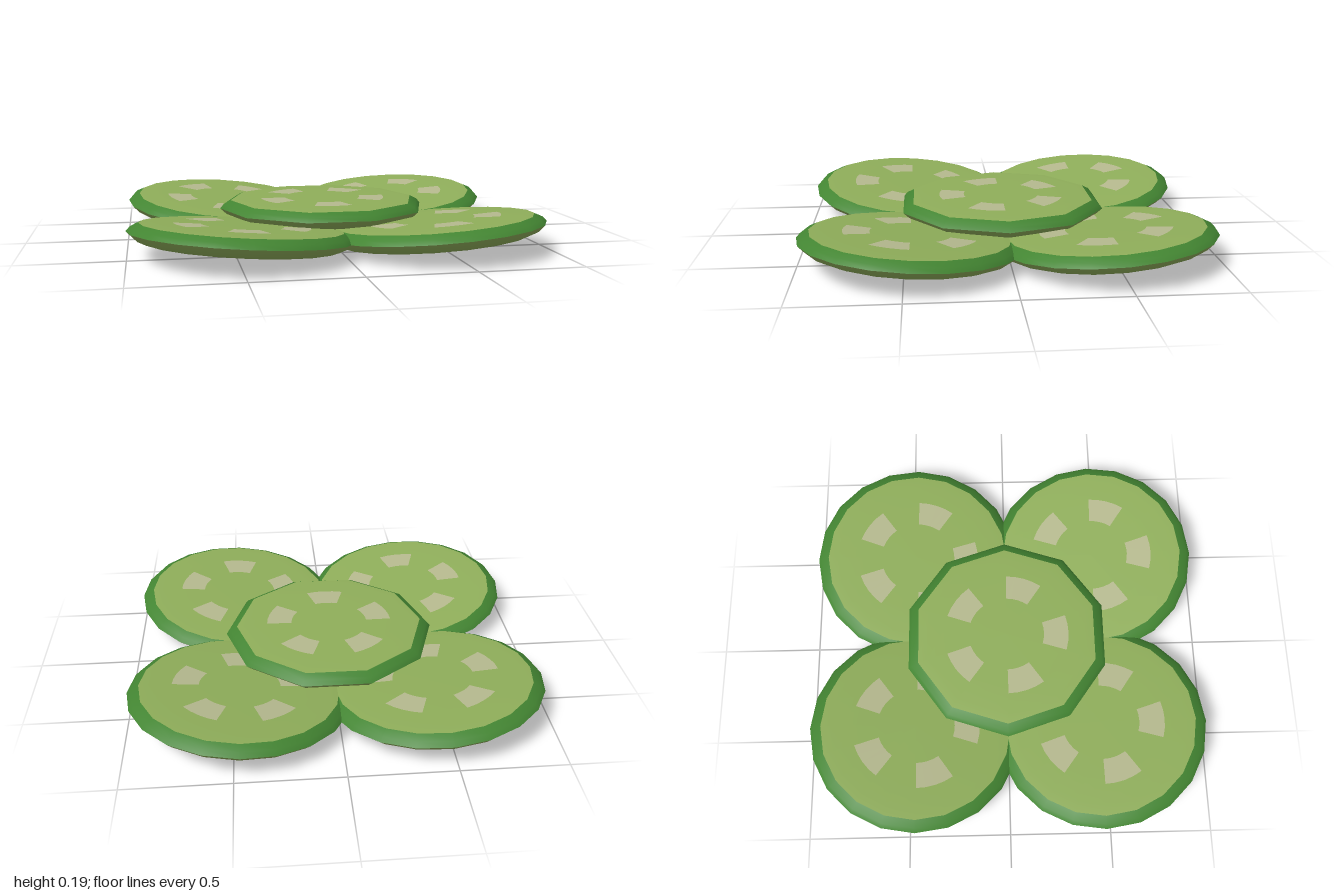
import * as THREE from 'three';

const flesh = new THREE.MeshStandardMaterial({ color: 0x8fae5a });
flesh.name = 'pale green flesh';
const rind = new THREE.MeshStandardMaterial({ color: 0x438532 });
rind.name = 'green rind';
const seedColor = new THREE.MeshStandardMaterial({ color: 0xb5b98e });
seedColor.name = 'beige seed';

// Profiles as [radius, height], listed from bottom to top
const UNDERSIDE = [[0, -0.05], [0.25, -0.05], [0.4, -0.049], [0.46, -0.046], [0.5, -0.03], [0.533, 0]];
const RIND = [[0.533, 0], [0.515, 0.022], [0.478, 0.041]];
const TOP = [[0.478, 0.041], [0.43, 0.044], [0.3, 0.046], [0, 0.046]];

function lathe(name, profile, material, sides, phase) {
  const points = profile.map(([r, y]) => new THREE.Vector2(r, y));
  const mesh = new THREE.Mesh(new THREE.LatheGeometry(points, sides, phase), material);
  mesh.name = name;
  return mesh;
}

// One round vegetable slice with five seed patches on top
function slice(name, sides, phase) {
  const group = new THREE.Group();
  group.name = name;
  group.add(
    lathe('underside', UNDERSIDE, flesh, sides, phase),
    lathe('rind', RIND, rind, sides, phase),
    lathe('topFlesh', TOP, flesh, sides, phase)
  );
  const halfAngle = 0.3;
  for (let i = 0; i < 5; i++) {
    const angle = -Math.PI / 2 + (i * Math.PI * 2) / 5;
    const patch = new THREE.RingGeometry(0.195, 0.322, 4, 1, angle - halfAngle, halfAngle * 2);
    patch.rotateX(-Math.PI / 2);
    const seed = new THREE.Mesh(patch, seedColor);
    seed.name = 'seed';
    seed.position.y = 0.048;
    group.add(seed);
  }
  return group;
}

export function createModel() {
  const model = new THREE.Group();
  model.name = 'vegetableSlices';

  // Four lower slices, tilted up towards the outside
  const up = new THREE.Vector3(0, 1, 0);
  for (const sx of [-1, 1]) {
    for (const sz of [-1, 1]) {
      const s = slice((sz > 0 ? 'front' : 'back') + (sx > 0 ? 'Left' : 'Right') + 'Slice', 20, 0);
      s.position.set(sx * 0.469, 0.099, sz * 0.469);
      s.quaternion.setFromUnitVectors(up, new THREE.Vector3(-sx * 0.075, 1, -sz * 0.075).normalize());
      model.add(s);
    }
  }

  // Level slice resting on top
  const centre = slice('centreSlice', 10, Math.PI / 10);
  centre.position.y = 0.152;
  model.add(centre);
  return model;
}
